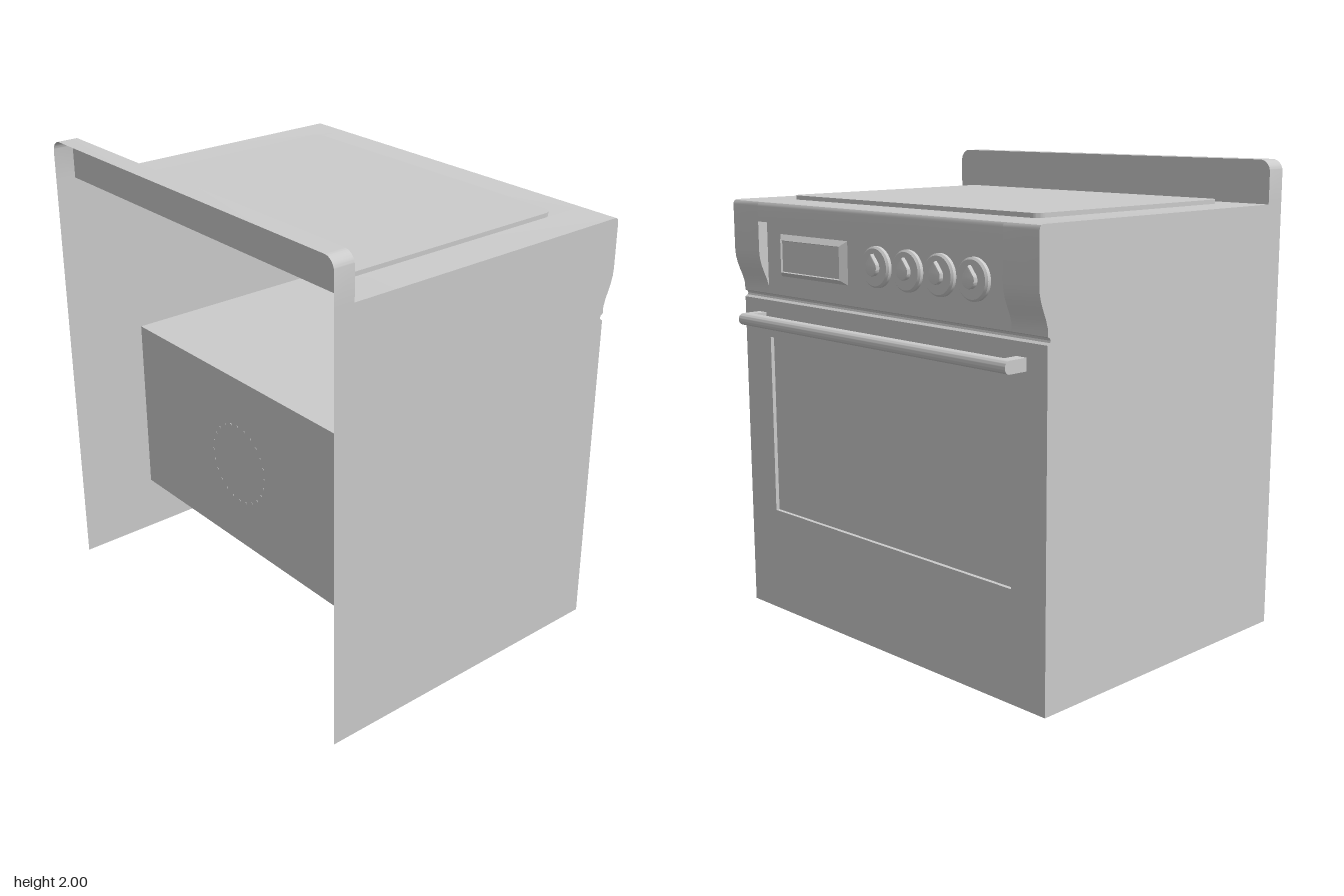
import * as THREE from 'three';
import { toCreasedNormals } from 'three/addons/utils/BufferGeometryUtils.js';

const H = 0.907;        // half width of the body (along z)
const FRONT = 0.645;    // x of the door face
const BACK = -0.76;
const INSET = 0.73;     // half width of control recess and oven window
const TOP = 1.82;

export function createModel() {
  const model = new THREE.Group();
  const mat = new THREE.MeshStandardMaterial({ color: 0xcccccc, side: THREE.DoubleSide });
  const v = (x, y, z) => new THREE.Vector3(x, y, z);

  function add(name, geo, parent = model) {
    const mesh = new THREE.Mesh(geo, mat);
    mesh.name = name;
    parent.add(mesh);
    return mesh;
  }

  // Sheet stretched between two matching rows of points
  function ribbon(a, b) {
    const pts = [];
    for (let i = 0; i < a.length - 1; i++) {
      pts.push(a[i], b[i], b[i + 1], a[i], b[i + 1], a[i + 1]);
    }
    const geo = new THREE.BufferGeometry().setFromPoints(pts);
    geo.computeVertexNormals();
    return toCreasedNormals(geo, 0.6);
  }

  // Rectangle loop in the plane at x, anticlockwise as seen from -x
  const loop = (x, hz, y0, y1, zc = 0) => [
    v(x, y0, zc - hz), v(x, y0, zc + hz), v(x, y1, zc + hz), v(x, y1, zc - hz), v(x, y0, zc - hz)];

  const polygon = (pts) => new THREE.Shape(pts.map(([x, y]) => new THREE.Vector2(x, y)));
  const rect = (hw, y0, y1) => polygon([[-hw, y0], [hw, y0], [hw, y1], [-hw, y1]]);

  // Flat shape drawn in width and height, turned to face +x
  const facing = (shape, x) => new THREE.ShapeGeometry(shape, 8).rotateY(Math.PI / 2).translate(x, 0, 0);

  // Profile of the fascia and top, from the groove above the door to the splashback
  const lower = [[FRONT, 1.395], [0.633, 1.403], [0.63, 1.411], [0.634, 1.42], [FRONT, 1.425], [FRONT, 1.455]];
  const curve = [[0.655, 1.488], [0.668, 1.518], [0.679, 1.547], [0.687, 1.577], [0.69, 1.61]];
  const upper = [[0.69, 1.80], [0.688, 1.809], [0.682, 1.817], [0.672, TOP], [-0.67, TOP]];
  const full = [...lower, ...curve, [0.69, 1.735], ...upper];
  const recessed = [...lower, [FRONT, 1.735], [0.69, 1.735], ...upper];
  const row = (pts, z) => pts.map(([x, y]) => v(x, y, z));
  const span = (pts, z1, z0) => ribbon(row(pts, z1), row(pts, z0));

  add('fasciaCentreAndTop', span(recessed, INSET, -INSET));
  add('fasciaEndLeft', span(full, -INSET, -H));
  add('fasciaEndRight', span(full, H, INSET));

  // Side walls and the cheeks closing the control recess
  const wall = polygon([[BACK, 0], [FRONT, 0], ...full, [BACK, TOP]]);
  const cheek = polygon([[FRONT, 1.455], ...curve, [0.69, 1.735], [FRONT, 1.735]]);
  for (const s of [1, -1]) {
    add('sideWall', new THREE.ShapeGeometry(wall)).position.z = s * H;
    add('recessCheek', new THREE.ShapeGeometry(cheek)).position.z = s * INSET;
  }

  // Splashback: front face and rounded rim, open behind
  const r = 0.05;
  const crest = new THREE.Shape();
  crest.moveTo(-H, TOP).lineTo(H, TOP).lineTo(H, 2 - r);
  crest.absarc(H - r, 2 - r, r, 0, Math.PI / 2, false);
  crest.absarc(-H + r, 2 - r, r, Math.PI / 2, Math.PI, false);
  crest.lineTo(-H, TOP);
  add('splashbackFace', facing(crest, -0.67));
  const rim = crest.getPoints(8).slice(1);
  add('splashbackRim', ribbon(rim.map(p => v(BACK, p.y, p.x)), rim.map(p => v(-0.67, p.y, p.x))));

  // Cooktop glass
  const [gx0, gx1, gz, gr] = [-0.58, 0.51, 0.727, 0.045];
  const glass = new THREE.Shape();
  glass.absarc(gx1 - gr, gz - gr, gr, 0, Math.PI / 2);
  glass.absarc(gx0 + gr, gz - gr, gr, Math.PI / 2, Math.PI);
  glass.absarc(gx0 + gr, -gz + gr, gr, Math.PI, Math.PI * 1.5);
  glass.absarc(gx1 - gr, -gz + gr, gr, Math.PI * 1.5, Math.PI * 2);
  const plate = new THREE.ExtrudeGeometry(glass, { depth: 0.018, bevelEnabled: false, curveSegments: 8 });
  add('cooktopGlass', toCreasedNormals(plate.rotateX(-Math.PI / 2), 0.6)).position.y = TOP;

  // Door with a sunken window
  const door = rect(H, 0, 1.395);
  door.holes.push(rect(INSET, 0.457, 1.235));
  add('door', facing(door, FRONT));
  add('windowReveal', ribbon(loop(FRONT, INSET, 0.457, 1.235), loop(0.628, INSET, 0.457, 1.235)));
  add('windowGlass', facing(rect(INSET, 0.457, 1.235), 0.628));

  // Oven cavity behind the door
  const [cw, c0, c1, cx] = [0.7, 0.385, 1.16, -0.52];
  add('ovenCavity', ribbon(loop(cx, cw, c0, c1), loop(0.625, cw, c0, c1)));
  add('ovenBack', facing(rect(cw, c0, c1), cx));
  const vents = new THREE.Group();
  vents.name = 'fanVents';
  for (let i = 0; i < 24; i++) {
    const a = i / 24 * Math.PI * 2;
    const hole = add('vent', new THREE.CylinderGeometry(0.006, 0.006, 0.004, 8).rotateZ(Math.PI / 2), vents);
    hole.position.set(cx, 0.765 + 0.175 * Math.sin(a), 0.175 * Math.cos(a));
  }
  model.add(vents);

  // Handle: bar with a rounded front on two posts
  const bar = new THREE.Shape();
  bar.moveTo(0.708, 1.29).lineTo(0.73, 1.29);
  bar.absarc(0.73, 1.315, 0.025, -Math.PI / 2, Math.PI / 2, false);
  bar.lineTo(0.708, 1.34);
  const barGeo = new THREE.ExtrudeGeometry(bar, { depth: 1.61, bevelEnabled: false, curveSegments: 10 });
  add('handleBar', toCreasedNormals(barGeo, 0.6)).position.z = -0.805;
  for (const s of [1, -1]) {
    add('handlePost', new THREE.BoxGeometry(0.067, 0.05, 0.05)).position.set(0.6765, 1.315, s * 0.78);
  }

  // Display with a bevelled frame
  const dz = 0.413;
  const frame = [loop(FRONT, 0.222, 1.507, 1.685, dz), loop(0.668, 0.195, 1.527, 1.662, dz), loop(0.66, 0.192, 1.53, 1.659, dz)];
  add('displayFrame', ribbon(frame[1], frame[0]));
  add('displayLip', ribbon(frame[1], frame[2]));
  add('displayScreen', facing(rect(0.192, 1.53, 1.659), 0.66)).position.z = dz;

  // Knobs: bevelled disc with a raised teardrop pointer
  const disc = [[0.082, 0], [0.082, 0.014], [0.074, 0.022], [0, 0.022]].map(([x, y]) => new THREE.Vector2(x, y));
  const knobGeo = toCreasedNormals(new THREE.LatheGeometry(disc, 36).rotateZ(-Math.PI / 2), 0.5);
  const drop = new THREE.Shape();
  drop.moveTo(0, 0.045);
  drop.absarc(0, 0, 0.028, Math.PI * 0.78, Math.PI * 2.22, false);
  drop.lineTo(0, 0.045);
  const dropGeo = toCreasedNormals(new THREE.ExtrudeGeometry(drop, {
    depth: 0.012, bevelThickness: 0.006, bevelSize: 0.006, bevelSegments: 2, curveSegments: 16,
  }).rotateY(Math.PI / 2), 0.6);
  for (const z of [0.003, -0.18, -0.362, -0.544]) {
    const knob = new THREE.Group();
    knob.name = 'knob';
    knob.position.set(FRONT, 1.597, z);
    add('knobDisc', knobGeo, knob);
    add('knobPointer', dropGeo, knob).position.x = 0.022;
    model.add(knob);
  }
  return model;
}
